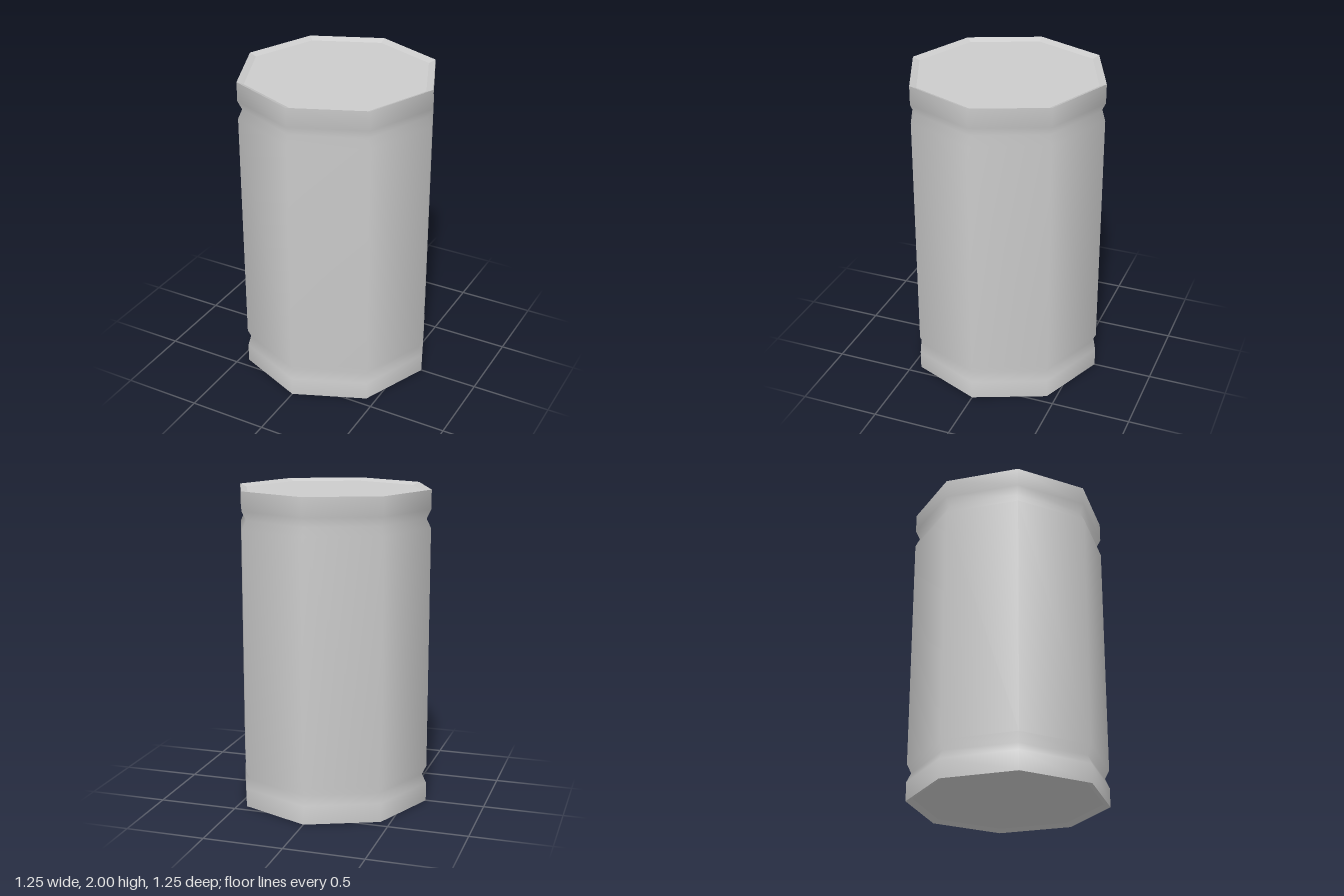
import * as THREE from 'three';

const SIDES = 8;
const R = 0.623;       // outer radius
const INNER = 0.58;    // radius of the recessed lids
const GROOVE = 0.595;  // radius at the bottom of the grooves
const DEPTH = 0.018;   // lid recess
const H = 2;

const material = new THREE.MeshStandardMaterial({ color: 0xcccccc });
const flatMaterial = new THREE.MeshStandardMaterial({ color: 0xcccccc, flatShading: true });

// Eight-sided revolved part; the profile runs upwards for outward faces
function turned(name, profile, mat) {
  const points = profile.map(([r, y]) => new THREE.Vector2(r, y));
  const mesh = new THREE.Mesh(new THREE.LatheGeometry(points, SIDES), mat);
  mesh.name = name;
  return mesh;
}

export function createModel() {
  const can = new THREE.Group();
  can.name = 'can';

  // Side wall with a V-groove near each end, smooth shaded
  const lower = [[R, 0], [R, 0.12], [GROOVE, 0.178], [R, 0.235]];
  const upper = lower.map(([r, y]) => [r, H - y]).reverse();
  can.add(turned('wall', [...lower, ...upper], material));

  // Sloped rims leading in to the recessed lids
  can.add(turned('topRim', [[R, H], [INNER, H - DEPTH]], flatMaterial));
  can.add(turned('bottomRim', [[INNER, DEPTH], [R, 0]], flatMaterial));

  // Flat lids
  for (const [name, y, tilt] of [['topLid', H - DEPTH, -1], ['bottomLid', DEPTH, 1]]) {
    const lid = new THREE.Mesh(new THREE.CircleGeometry(INNER, SIDES), material);
    lid.name = name;
    lid.rotation.x = tilt * Math.PI / 2;
    lid.position.y = y;
    can.add(lid);
  }
  return can;
}
